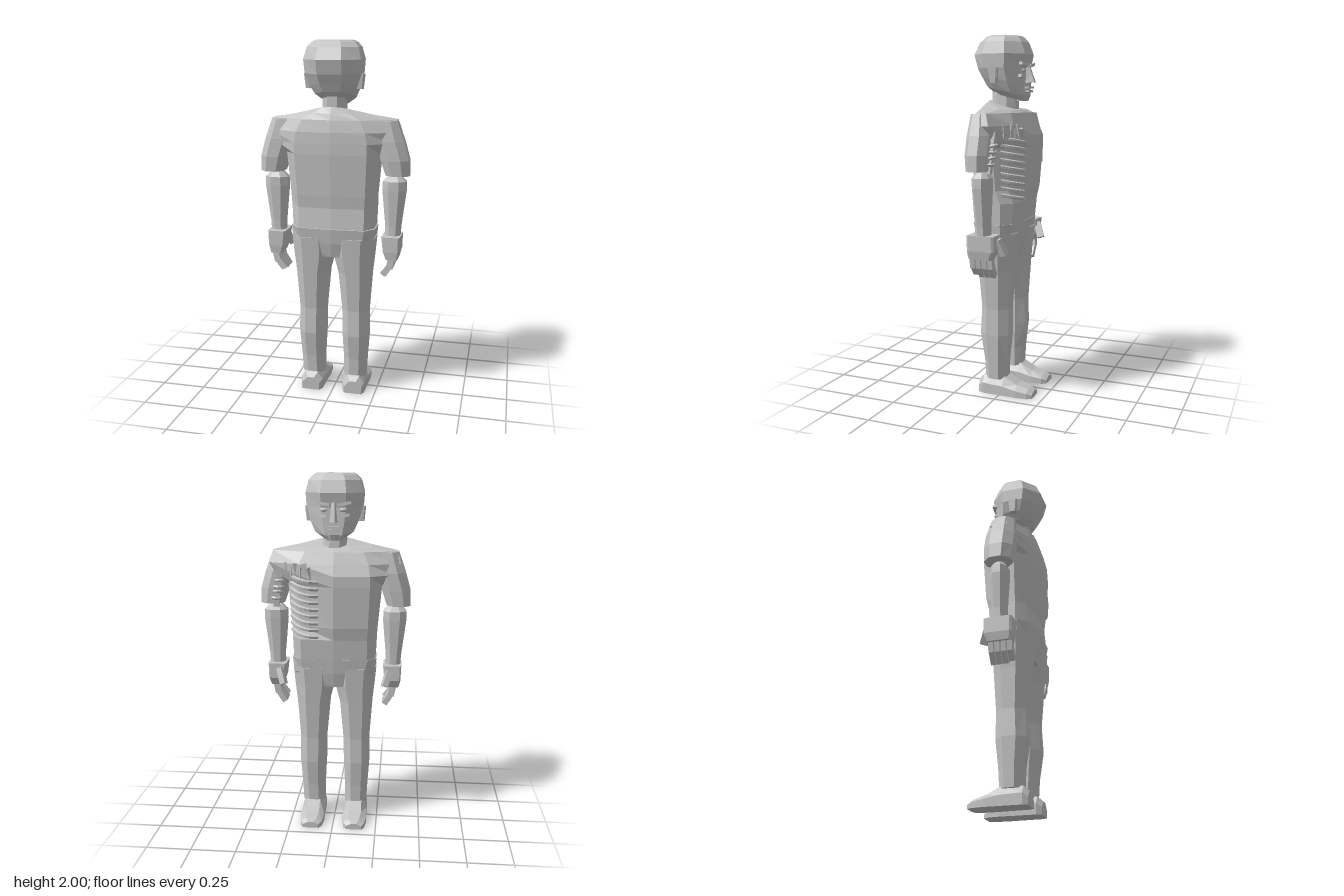
import * as THREE from 'three';

const grey = new THREE.MeshStandardMaterial({ color: 0xc4c4c4, flatShading: true });
grey.name = 'plain grey';

// Skin a list of equal-length rings of [x, y, z]; closes both ends and faces outwards
function loft(rings) {
  const n = rings[0].length, tris = [];
  for (let i = 0; i + 1 < rings.length; i++)
    for (let j = 0; j < n; j++) {
      const k = (j + 1) % n, a = rings[i][j], b = rings[i][k], c = rings[i + 1][k], d = rings[i + 1][j];
      tris.push([a, b, c], [a, c, d]);
    }
  const cap = (r, flip) => {
    const m = [0, 1, 2].map(q => r.reduce((s, p) => s + p[q], 0) / n);
    r.forEach((p, j) => tris.push(flip ? [m, r[(j + 1) % n], p] : [m, p, r[(j + 1) % n]]));
  };
  cap(rings[0], true);
  cap(rings[rings.length - 1], false);
  const v = p => new THREE.Vector3(...p);
  const volume = tris.reduce((s, [a, b, c]) => s + v(a).dot(v(b).cross(v(c))), 0);
  const g = new THREE.BufferGeometry();
  const flat = tris.flatMap(([a, b, c]) => (volume < 0 ? [...a, ...c, ...b] : [...a, ...b, ...c]));
  g.setAttribute('position', new THREE.Float32BufferAttribute(flat, 3));
  g.computeVertexNormals();
  return g;
}

// Chamfered rectangle at height y, optionally tilted along z
function oct(y, x0, x1, z0, z1, c = 0.28, tilt = 0) {
  const a = (x1 - x0) * c, b = (z1 - z0) * c, m = (z0 + z1) / 2;
  return [[x0 + a, z0], [x1 - a, z0], [x1, z0 + b], [x1, z1 - b], [x1 - a, z1], [x0 + a, z1], [x0, z1 - b], [x0, z0 + b]]
    .map(([x, z]) => [x, y + tilt * (z - m), z]);
}

// Torso ring: half width w, flat half width a, front/back depth, side z range, wound dent on +x
function bodyRing(y, w, a, zf, zb, z1, z2, dent = 0, tilt = 0) {
  const half = s => [[s * a, zf + 0.012], [s * w, z1], [s * w, z2], [s * a, zb - 0.012]];
  const p = [[0, zf], ...half(1), [0, zb], ...half(-1).reverse()];
  p[1][1] += dent;
  p[2][1] += dent * 0.6;
  return p.map(([x, z]) => [x, y + tilt * (z - 0.04), z]);
}

function add(parent, name, geometry) {
  const m = new THREE.Mesh(geometry, grey);
  m.name = name;
  parent.add(m);
  return m;
}

// Straight bar between two points
function bar(parent, name, p, q, w, d) {
  const a = new THREE.Vector3(...p), b = new THREE.Vector3(...q);
  const m = add(parent, name, new THREE.BoxGeometry(w, a.distanceTo(b), d));
  m.position.copy(a).lerp(b, 0.5);
  m.quaternion.setFromUnitVectors(new THREE.Vector3(0, 1, 0), b.sub(a).normalize());
  return m;
}

const flip = (rings, s) => rings.map(r => r.map(([x, y, z]) => [s * x, y, z]));

function buildHead(root) {
  const head = new THREE.Group();
  head.name = 'head';
  root.add(head);
  add(head, 'skull', loft([
    oct(1.672, -0.062, 0.062, -0.088, 0.09, 0.28, 0.26),
    oct(1.705, -0.105, 0.105, -0.098, 0.125, 0.28, 0.24),
    oct(1.76, -0.132, 0.132, -0.095, 0.145, 0.28, 0.12),
    oct(1.825, -0.152, 0.152, -0.092, 0.17),
    oct(1.9, -0.157, 0.157, -0.108, 0.19),
    oct(1.965, -0.14, 0.14, -0.085, 0.16),
    oct(1.99, -0.118, 0.118, -0.065, 0.132),
    oct(2.0, -0.1, 0.1, -0.055, 0.12),
  ]));
  // Face
  add(head, 'nose', loft([
    [[-0.025, 1.745, -0.08], [0.025, 1.745, -0.08], [0.012, 1.75, -0.142], [-0.012, 1.75, -0.142]],
    [[-0.02, 1.79, -0.08], [0.02, 1.79, -0.08], [0.008, 1.79, -0.128], [-0.008, 1.79, -0.128]],
    [[-0.015, 1.85, -0.08], [0.015, 1.85, -0.08], [0.008, 1.85, -0.105], [-0.008, 1.85, -0.105]],
  ]));
  add(head, 'chin', loft([oct(1.65, -0.03, 0.03, -0.098, -0.04), oct(1.685, -0.04, 0.04, -0.112, -0.04)]));
  for (const [name, y, z, w] of [['upperLip', 1.722, -0.107, 0.08], ['lowerLip', 1.702, -0.106, 0.06]])
    add(head, name, new THREE.BoxGeometry(w, 0.012, 0.025)).position.set(0, y, z);
  for (const s of [-1, 1]) {
    bar(head, 'brow', [s * 0.02, 1.838, -0.1], [s * 0.095, 1.85, -0.094], 0.016, 0.022);
    const eye = add(head, 'eye', new THREE.SphereGeometry(0.022, 8, 6));
    eye.scale.set(1, 0.5, 0.4);
    eye.position.set(s * 0.052, 1.812, -0.094);
    bar(head, 'cheekbone', [s * 0.035, 1.775, -0.093], [s * 0.085, 1.785, -0.085], 0.016, 0.02);
    add(head, 'ear', loft(flip([oct(1.745, 0.125, 0.158, 0.022, 0.06, 0.15),
      oct(1.825, 0.135, 0.166, 0.015, 0.07, 0.15)], s)));
  }
  add(head, 'neck', loft([oct(1.56, -0.065, 0.065, -0.04, 0.1), oct(1.74, -0.06, 0.06, -0.03, 0.1)]));
}

function buildTorso(root) {
  add(root, 'shirt', loft([
    bodyRing(0.975, 0.23, 0.185, -0.088, 0.152, -0.03, 0.08),
    bodyRing(1.1, 0.235, 0.185, -0.1, 0.142, -0.03, 0.08),
    bodyRing(1.17, 0.24, 0.19, -0.115, 0.15, -0.03, 0.08, 0.04),
    bodyRing(1.4, 0.262, 0.2, -0.13, 0.166, -0.03, 0.08, 0.055),
    bodyRing(1.46, 0.33, 0.2, -0.13, 0.166, -0.035, 0.08, 0.03),
    bodyRing(1.52, 0.365, 0.19, -0.105, 0.164, -0.02, 0.075),
    bodyRing(1.585, 0.345, 0.16, -0.075, 0.152, 0.0, 0.055),
    bodyRing(1.61, 0.2, 0.1, -0.055, 0.14, -0.01, 0.08, 0, 0.1),
    bodyRing(1.628, 0.075, 0.05, -0.045, 0.125, -0.02, 0.095, 0, 0.3),
  ]));
  add(root, 'hips', loft([
    bodyRing(0.82, 0.12, 0.1, -0.065, 0.13, -0.03, 0.09),
    bodyRing(0.9, 0.228, 0.17, -0.08, 0.148, -0.03, 0.09),
    bodyRing(0.985, 0.238, 0.19, -0.09, 0.16, -0.03, 0.09),
  ]));
  // Torn chest with exposed ribs on the +x side
  const wound = new THREE.Group();
  wound.name = 'chestWound';
  root.add(wound);
  for (let i = 0; i < 9; i++) {
    const y = 1.12 + i * 0.038, r = 0.012 * i / 8;
    const path = new THREE.CatmullRomCurve3([[0.085, y, -0.105], [0.13, y + 0.004, -0.122 - r * 0.5],
      [0.19, y + 0.015, -0.098 - r], [0.235 + r, y + 0.03, -0.035]].map(p => new THREE.Vector3(...p)));
    add(wound, 'rib', new THREE.TubeGeometry(path, 8, 0.011, 5));
  }
  for (let i = 0; i < 6; i++) {
    const shard = add(wound, 'tornCloth', new THREE.ConeGeometry(0.018, 0.08, 3));
    shard.position.set(0.13 + i * 0.026, 1.465 + (i % 2) * 0.02, -0.115 + i * 0.011);
    shard.rotation.set(Math.PI, i, 0.3 - i * 0.1);
  }
}

function buildArm(root, s) {
  const arm = new THREE.Group();
  arm.name = s > 0 ? 'leftArm' : 'rightArm';
  root.add(arm);
  const cut = s > 0 ? 0.04 : 0; // the torn sleeve is open at the front
  add(arm, 'sleeve', loft(flip([
    oct(1.285, 0.29, 0.42, -0.05 + cut, 0.1),
    oct(1.37, 0.262, 0.418, -0.055 + cut, 0.11),
    oct(1.47, 0.23, 0.39, -0.055 + cut, 0.11),
    oct(1.582, 0.22, 0.35, -0.035 + cut, 0.1),
  ], s)));
  if (s > 0) {
    bar(arm, 'upperArmBone', [0.33, 1.27, -0.005], [0.3, 1.5, -0.025], 0.03, 0.03);
    for (let i = 0; i < 4; i++) {
      const flesh = add(arm, 'tornMuscle', new THREE.TorusGeometry(0.024, 0.009, 5, 8));
      flesh.position.set(0.328 - i * 0.007, 1.32 + i * 0.032, -0.01 - i * 0.004);
      flesh.rotation.x = Math.PI / 2 + (i % 2) * 0.25;
    }
  }
  add(arm, 'forearm', loft(flip([
    oct(0.92, 0.288, 0.37, -0.012, 0.065),
    oct(1.0, 0.288, 0.375, -0.014, 0.065),
    oct(1.2, 0.27, 0.4, -0.022, 0.075),
    oct(1.25, 0.272, 0.398, -0.022, 0.075),
    oct(1.28, 0.3, 0.37, 0.0, 0.055),
  ], s)));
  // Hand with curled fingers
  add(arm, 'palm', loft(flip([oct(0.815, 0.3, 0.365, -0.03, 0.1, 0.1),
    oct(0.86, 0.285, 0.375, -0.05, 0.105, 0.08), oct(0.945, 0.275, 0.378, -0.05, 0.105, 0.08)], s)));
  for (let i = 0; i < 4; i++) {
    const z = 0.085 - i * 0.034, drop = i === 0 ? 0.012 : 0;
    bar(arm, 'finger', [s * 0.335, 0.83, z], [s * 0.322, 0.765, z], 0.036, 0.028);
    bar(arm, 'fingertip', [s * 0.325, 0.778, z], [s * 0.285, 0.715 + drop, z], 0.032, 0.027);
  }
  bar(arm, 'thumb', [s * 0.31, 0.92, -0.045], [s * 0.285, 0.835, -0.078], 0.04, 0.032);
}

function buildLeg(root, s) {
  const leg = new THREE.Group();
  leg.name = s > 0 ? 'leftLeg' : 'rightLeg';
  root.add(leg);
  add(leg, 'trouserLeg', loft(flip([
    oct(0.09, 0.06, 0.186, -0.03, 0.092),
    oct(0.2, 0.06, 0.192, -0.035, 0.098),
    oct(0.35, 0.053, 0.202, -0.05, 0.12),
    oct(0.5, 0.05, 0.2, -0.048, 0.112),
    oct(0.72, 0.03, 0.215, -0.062, 0.13),
    oct(0.82, 0.004, 0.226, -0.07, 0.14),
    oct(0.93, 0.002, 0.236, -0.08, 0.15),
  ], s)));
  // Shoe sections from heel to toe: [z, inner x, outer x, side height, top height]
  add(leg, 'shoe', loft([[0.128, 0.075, 0.175, 0.04, 0.075], [0.1, 0.06, 0.188, 0.06, 0.1],
    [-0.02, 0.058, 0.19, 0.055, 0.105], [-0.1, 0.055, 0.192, 0.04, 0.065], [-0.165, 0.062, 0.185, 0.03, 0.048],
    [-0.193, 0.08, 0.17, 0.02, 0.035]].map(([z, a, b, h, t]) =>
    [[a, 0], [b, 0], [b, h], [b - 0.03, t], [a + 0.03, t], [a, h]].map(([x, y]) => [s * x, y, z]))));
}

export function createModel() {
  const root = new THREE.Group();
  root.name = 'figure';
  buildHead(root);
  buildTorso(root);
  for (const s of [-1, 1]) {
    buildArm(root, s);
    buildLeg(root, s);
  }
  return root;
}
